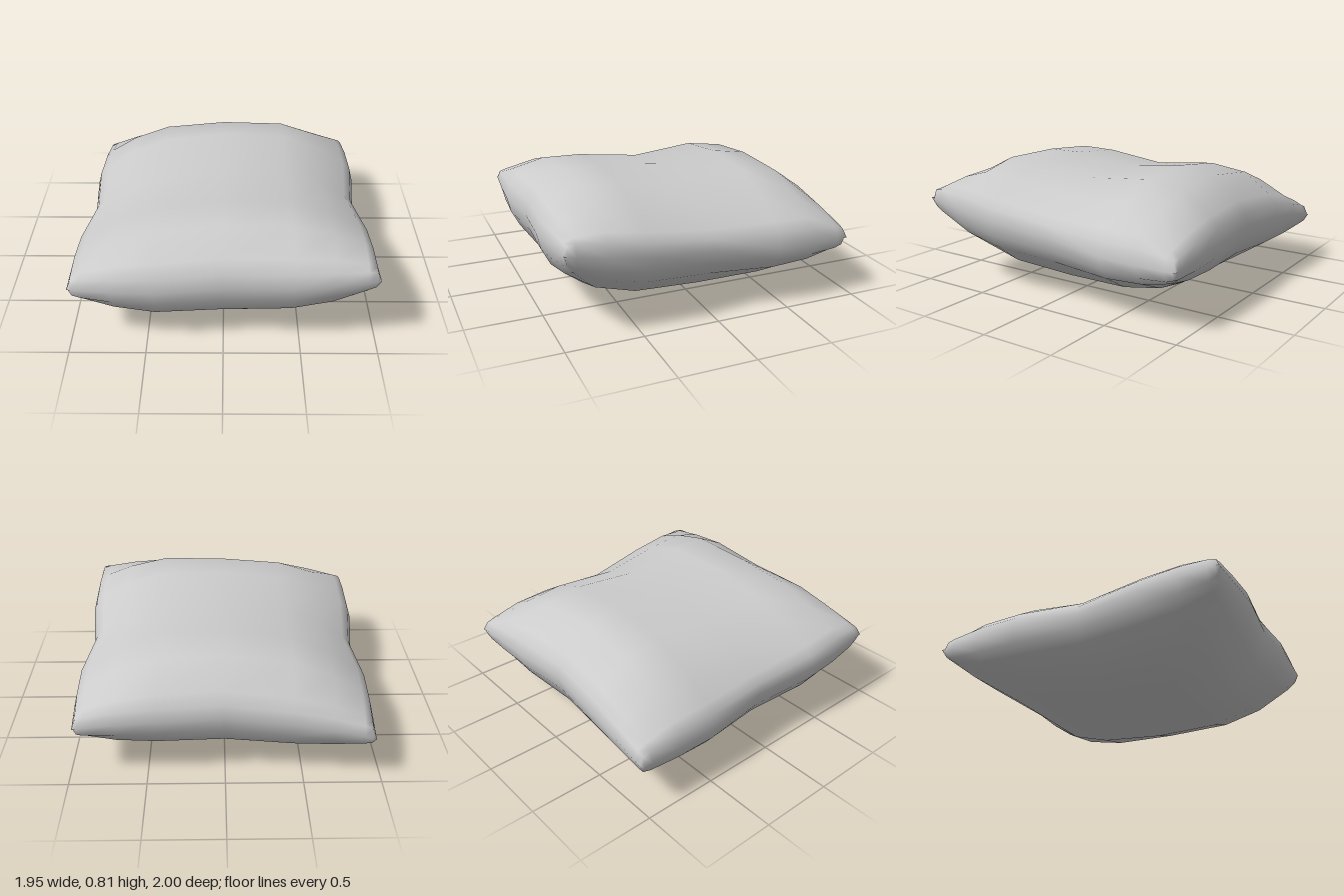
import * as THREE from 'three';
import { mergeVertices, mergeGeometries } from 'three/addons/utils/BufferGeometryUtils.js';

// Grid stations from one seam to the other, packed towards the rim
const stations = [-1, -0.975, -0.92, -0.72, -0.45, 0, 0.45, 0.72, 0.92, 0.975, 1];
// Puffiness above and below the seam: share across the width, height from back to front
const top = {
  across: [0, 0.22, 0.37, 0.68, 0.92, 1, 0.93, 0.68, 0.39, 0.24, 0],
  along: [0, 0.08, 0.16, 0.315, 0.355, 0.29, 0.315, 0.3, 0.18, 0.09, 0],
};
const bottom = {
  across: [0, 0.2, 0.38, 0.69, 0.91, 1, 0.92, 0.72, 0.39, 0.2, 0],
  along: [0, 0.1, 0.2, 0.33, 0.41, 0.465, 0.475, 0.4, 0.23, 0.11, 0],
};
// Half sizes along each edge, pinched in the middle
const edges = {
  right: [0.95, 0.98, 0.92, 0.982, 0.965],
  left: [0.935, 0.968, 0.92, 0.984, 0.97],
  front: [0.95, 0.997, 0.96, 1.0, 0.97],
  back: [1.0, 0.98, 0.94, 0.978, 0.96],
};

const lerp = THREE.MathUtils.lerp;

function sample(list, t) {
  const p = (t + 1) * 2;
  const i = Math.min(3, Math.floor(p));
  return lerp(list[i], list[i + 1], p - i);
}

// Height of the seam sheet: four uneven corners, back edge arched, other edges sagging
function seamHeight(u, v) {
  const arch = 0.09 * (1 - u * u) * ((1 - v) / 2) ** 3;
  const sideSag = (0.035 + 0.015 * u) * u * u * (1 - v * v);
  const frontSag = 0.03 * (1 - u * u) * Math.max(v, 0) ** 4;
  const back = lerp(0.34, 0.4, (u + 1) / 2);
  const front = lerp(0.49, 0.585, (u + 1) / 2);
  return lerp(back, front, (v + 1) / 2) + arch - sideSag - frontSag;
}

function shell(profile, side) {
  const n = stations.length - 1;
  const geo = new THREE.PlaneGeometry(2, 2, n, n).rotateX(-side * Math.PI / 2);
  geo.deleteAttribute('uv');
  geo.deleteAttribute('normal');
  const pos = geo.attributes.position;
  for (let k = 0; k < pos.count; k++) {
    const i = Math.round((pos.getX(k) + 1) * n / 2);
    const j = Math.round((pos.getZ(k) + 1) * n / 2);
    const u = stations[i], v = stations[j];
    const x = u * lerp(0.96, sample(u > 0 ? edges.right : edges.left, v), u * u);
    const z = v * lerp(0.98, sample(v > 0 ? edges.front : edges.back, u), v * v);
    // Blunt corners: a little extra thickness just inside the seam
    const onSeam = Math.max(Math.abs(u), Math.abs(v)) === 1;
    const blunt = onSeam ? 0 : 0.04 * (u * v) ** 2;
    const y = seamHeight(u, v) + side * (profile.across[i] * profile.along[j] + blunt);
    pos.setXYZ(k, x, y, z);
  }
  return geo;
}

export function createModel() {
  const group = new THREE.Group();
  group.name = 'pillow';
  // Upper and lower halves welded along the seam for smooth shading
  const geo = mergeVertices(mergeGeometries([shell(top, 1), shell(bottom, -1)]), 1e-4);
  geo.computeVertexNormals();
  const cushion = new THREE.Mesh(geo, new THREE.MeshStandardMaterial({ color: 0xcccccc }));
  cushion.name = 'cushion';
  group.add(cushion);
  return group;
}
